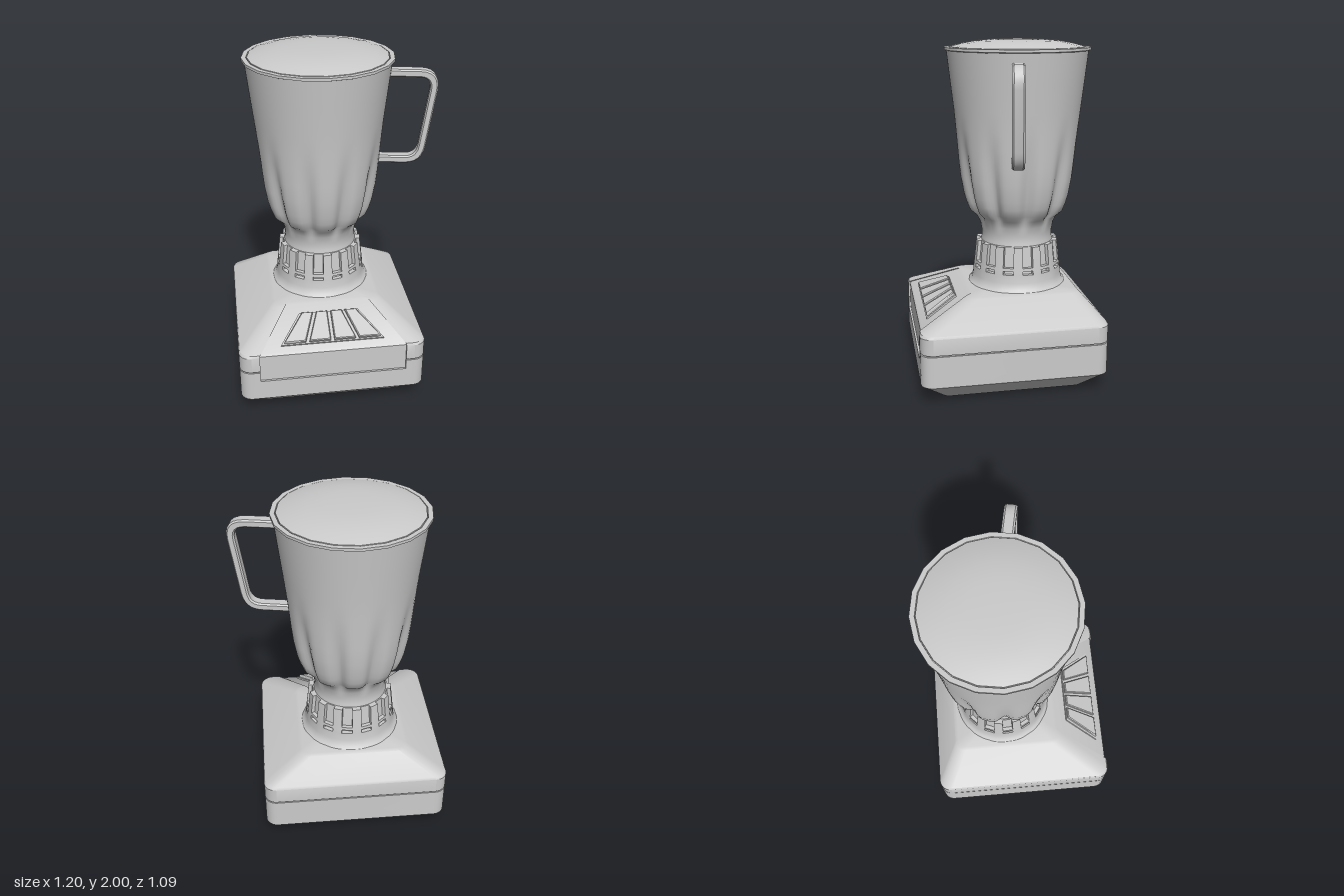
import * as THREE from 'three';
import { toCreasedNormals } from 'three/addons/utils/BufferGeometryUtils.js';

const material = new THREE.MeshStandardMaterial({ color: 0xcccccc });
const AXIS_X = -0.06, AXIS_Z = -0.1;

// Skin closed rings of [x, y, z] from bottom to top and cap both ends.
function loft(rings, crease = 0.6) {
  const n = rings[0].length, pos = rings.flat(2), index = [];
  for (let i = 0; i < rings.length - 1; i++) {
    for (let j = 0; j < n; j++) {
      const a = i * n + j, b = i * n + (j + 1) % n;
      index.push(a, b, b + n, a, b + n, a + n);
    }
  }
  for (const [row, top] of [[0, false], [rings.length - 1, true]]) {
    const c = pos.length / 3, sum = [0, 1, 2].map(k => rings[row].reduce((s, p) => s + p[k], 0) / n);
    pos.push(...sum);
    for (let j = 0; j < n; j++) {
      const a = row * n + j, b = row * n + (j + 1) % n;
      if (top) index.push(a, b, c); else index.push(b, a, c);
    }
  }
  const g = new THREE.BufferGeometry();
  g.setAttribute('position', new THREE.Float32BufferAttribute(pos, 3));
  g.setIndex(index);
  return toCreasedNormals(g, crease);
}

const polar = (r, y, t) => [r * Math.sin(t), y, r * Math.cos(t)];

function turned(profile, sides, crease) {
  return loft(profile.map(([r, y]) =>
    Array.from({ length: sides }, (_, j) => polar(r, y, j / sides * Math.PI * 2))), crease);
}

function addPart(parent, name, geometry, x = 0, y = 0, z = 0) {
  const m = new THREE.Mesh(geometry, material);
  m.name = name;
  m.position.set(x, y, z);
  parent.add(m);
  return m;
}

// Rounded square housing with a seam and a recessed front panel.
function baseGeometry() {
  // y, half width, half depth, z centre, corner radius, panel half width, recess, seam inset
  const rows = [
    [0, 0.42, 0.42, 0, 0.05, 0.34, 0, 0],
    [0.115, 0.543, 0.543, 0, 0.07, 0.425, 0, 0],
    [0.24, 0.543, 0.543, 0, 0.07, 0.425, 0, 0],
    [0.24, 0.543, 0.543, 0, 0.07, 0.425, 0.012, 0],
    [0.301, 0.543, 0.543, 0, 0.07, 0.425, 0.012, 0],
    [0.301, 0.543, 0.543, 0, 0.07, 0.425, 0.012, 0.008],
    [0.309, 0.543, 0.543, 0, 0.07, 0.425, 0.012, 0.008],
    [0.309, 0.543, 0.543, 0, 0.07, 0.425, 0.012, 0],
    [0.405, 0.543, 0.543, 0, 0.07, 0.425, 0.012, 0],
    [0.418, 0.536, 0.536, 0, 0.07, 0.422, 0.016, 0],
    [0.543, 0.325, 0.337, -0.083, 0.06, 0.255, 0.022, 0],
    [0.55, 0.305, 0.317, -0.083, 0.05, 0.245, 0.022, 0],
  ];
  return loft(rows.map(([y, hx, hz, zc, r, w, d, inset]) => {
    const front = zc + hz, ring = [[w, y, front - d], [w, y, front - inset]];
    [[1, 1], [1, -1], [-1, -1], [-1, 1]].forEach(([sx, sz], q) => {
      for (let k = 0; k <= 6; k++) {
        const t = (q + k / 6) * Math.PI / 2;
        ring.push([sx * (hx - inset - r) + r * Math.sin(t), y, zc + sz * (hz - inset - r) + r * Math.cos(t)]);
      }
    });
    ring.push([-w, y, front - inset], [-w, y, front - d]);
    return ring;
  }), 0.5);
}

// Drive collar with open notches at the top and a row of small slots.
function collarGeometry() {
  const count = 14, half = 0.12, step = Math.PI * 2 / count;
  // radius, y, recess
  const rows = [[0.3, 0.545, 0], [0.28, 0.562, 0], [0.268, 0.6, 0], [0.265, 0.65, 0], [0.265, 0.65, 0.025],
    [0.262, 0.672, 0.025], [0.262, 0.672, 0], [0.26, 0.69, 0], [0.26, 0.69, 0.022], [0.247, 0.812, 0.022]];
  return loft(rows.map(([r, y, d]) => {
    const ring = [];
    for (let i = 0; i < count; i++) {
      const t = i * step - 0.16;
      ring.push(polar(r, y, t - half), polar(r - d, y, t - half), polar(r - d, y, t + half),
        polar(r, y, t + half), polar(r, y, t + step / 2));
    }
    return ring;
  }), 0.6);
}

// Tapered jar whose lower half swells into ten lobes.
function jarGeometry() {
  const profile = [[0.225, 0.78], [0.212, 0.83], [0.212, 0.87], [0.222, 0.92], [0.245, 0.965], [0.285, 1.0],
    [0.305, 1.05], [0.32, 1.1], [0.338, 1.2], [0.348, 1.3], [0.356, 1.4], [0.364, 1.5], [0.373, 1.6],
    [0.393, 1.77], [0.413, 1.945]];
  const sides = 120, smooth = THREE.MathUtils.smoothstep;
  return loft(profile.map(([r, y]) => {
    const depth = 0.036 * smooth(y, 0.92, 1.01) * (1 - smooth(y, 1.1, 1.58));
    return Array.from({ length: sides }, (_, j) => {
      const t = j / sides * Math.PI * 2;
      return polar(r - depth * Math.pow(Math.abs(Math.sin(t * 5)), 5), y, t);
    });
  }), 0.8);
}

// Rounded C-shaped grip, drawn in the plane that passes through the jar axis.
function handleGeometry() {
  const s = new THREE.Shape();
  s.moveTo(0.385, 1.885);
  s.lineTo(0.56, 1.885);
  s.quadraticCurveTo(0.68, 1.885, 0.665, 1.77);
  s.lineTo(0.615, 1.44);
  s.quadraticCurveTo(0.6, 1.33, 0.5, 1.33);
  s.lineTo(0.34, 1.33);
  s.lineTo(0.34, 1.37);
  s.lineTo(0.5, 1.37);
  s.quadraticCurveTo(0.565, 1.37, 0.575, 1.44);
  s.lineTo(0.625, 1.77);
  s.quadraticCurveTo(0.638, 1.845, 0.56, 1.845);
  s.lineTo(0.385, 1.845);
  const g = new THREE.ExtrudeGeometry(s, { depth: 0.05, curveSegments: 6, bevelEnabled: true,
    bevelThickness: 0.01, bevelSize: 0.008, bevelOffset: -0.006, bevelSegments: 1 });
  g.translate(0, 0, -0.025);
  return toCreasedNormals(g, 0.5);
}

// Four-sided plate lying on the slope, given by its x limits at both ends.
function plate(x0, x1, x2, x3, v0, v1, depth, bevel) {
  const s = new THREE.Shape([[x0, v0], [x1, v0], [x2, v1], [x3, v1]].map(p => new THREE.Vector2(...p)));
  return new THREE.ExtrudeGeometry(s, { depth, bevelEnabled: bevel > 0, bevelThickness: bevel,
    bevelSize: bevel, bevelOffset: -bevel, bevelSegments: 1 });
}

export function createModel() {
  const model = new THREE.Group();
  model.name = 'blender';

  addPart(model, 'base', baseGeometry(), AXIS_X, 0, 0);

  // Fan of push keys on the sloping panel
  const keys = new THREE.Group();
  keys.name = 'controlKeys';
  keys.position.set(AXIS_X, 0.415, 0.543);
  keys.rotation.x = 0.417 - Math.PI / 2;
  addPart(keys, 'keyTray', plate(-0.3, 0.3, 0.175, -0.175, 0.06, 0.265, 0.022, 0), 0, 0, -0.02);
  for (let i = 0; i < 4; i++) {
    const a = i / 2 - 1, b = a + 0.5, gap = 0.01;
    addPart(keys, 'key', plate(a * 0.29 + gap, b * 0.29 - gap, b * 0.17 - gap, a * 0.17 + gap,
      0.068, 0.26, 0.03, 0.005), 0, 0, -0.015);
  }
  model.add(keys);

  // Collar and jar share one vertical axis
  const jar = new THREE.Group();
  jar.name = 'jarAssembly';
  jar.position.set(AXIS_X, 0, AXIS_Z);
  addPart(jar, 'collar', collarGeometry());
  addPart(jar, 'jar', jarGeometry());
  addPart(jar, 'rim', turned([[0.413, 1.935], [0.427, 1.94], [0.427, 1.955], [0.4, 1.955], [0.398, 1.945]], 20, 0.5));
  addPart(jar, 'lid', turned([[0.395, 1.94], [0.395, 1.957], [0.385, 1.96], [0.32, 1.977], [0.24, 1.991],
    [0.15, 1.998], [0.05, 2]], 20, 0.5));
  addPart(jar, 'handle', handleGeometry()).rotation.y = -0.187;
  model.add(jar);

  return model;
}
